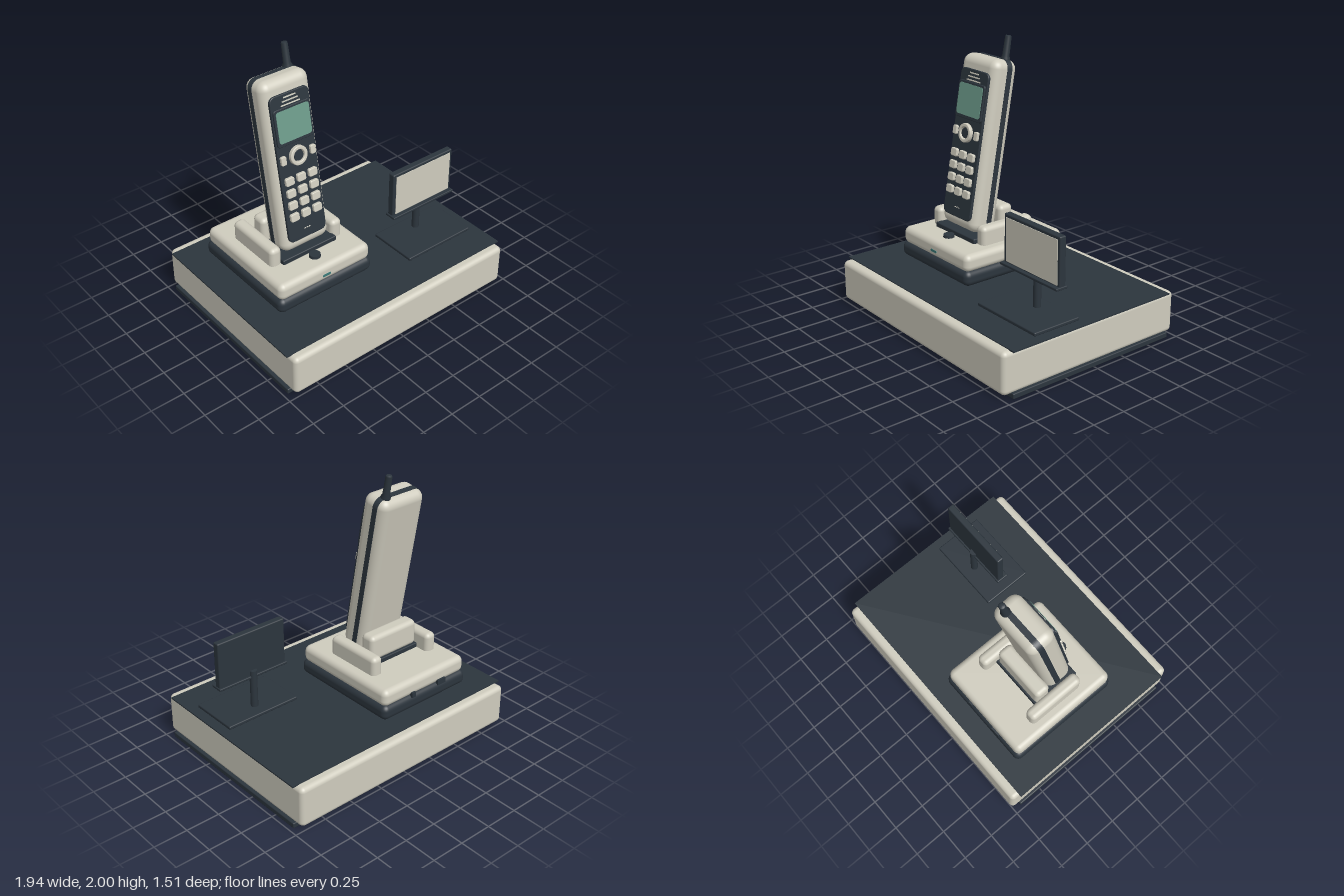
import * as THREE from 'three';
import { RoundedBoxGeometry } from 'three/addons/geometries/RoundedBoxGeometry.js';

const paint = (name, color) => {
  const m = new THREE.MeshStandardMaterial({ color });
  m.name = name;
  return m;
};

export function createModel() {
  const cream = paint('warm cream', 0xcfccbe);
  const dark = paint('slate', 0x2c353d);
  const green = paint('screen green', 0x6c9a8a);
  const teal = paint('indicator teal', 0x3c7a78);

  const add = (parent, name, geo, mat, x, y, z) => {
    const mesh = new THREE.Mesh(geo, mat);
    mesh.name = name;
    mesh.position.set(x, y, z);
    parent.add(mesh);
    return mesh;
  };
  // Box given by its extents along each axis
  const block = (parent, name, mat, [x0, x1], [y0, y1], [z0, z1], r = 0) => {
    const s = [x1 - x0, y1 - y0, z1 - z0];
    const geo = r ? new RoundedBoxGeometry(...s, 4, r) : new THREE.BoxGeometry(...s);
    return add(parent, name, geo, mat, (x0 + x1) / 2, (y0 + y1) / 2, (z0 + z1) / 2);
  };
  // Rounded rectangle plate starting at z = 0
  const plate = (w, h, r, depth, bevel = 0) => {
    const a = w / 2 - bevel, b = h / 2 - bevel;
    const s = new THREE.Shape();
    s.moveTo(-a + r, -b);
    s.absarc(a - r, -b + r, r, -Math.PI / 2, 0);
    s.absarc(a - r, b - r, r, 0, Math.PI / 2);
    s.absarc(-a + r, b - r, r, Math.PI / 2, Math.PI);
    s.absarc(-a + r, -b + r, r, Math.PI, Math.PI * 1.5);
    const geo = new THREE.ExtrudeGeometry(s, {
      depth: depth - 2 * bevel, curveSegments: 8, bevelEnabled: bevel > 0,
      bevelSize: bevel, bevelThickness: bevel, bevelSegments: 3,
    });
    return geo.translate(0, 0, bevel);
  };

  const model = new THREE.Group();
  model.name = 'phoneDisplay';

  // Display plinth
  const plinth = new THREE.Group();
  plinth.name = 'plinth';
  block(plinth, 'plinthFoot', dark, [-0.97, 0.97], [0, 0.04], [-0.69, 0.69], 0.008);
  block(plinth, 'plinthBody', cream, [-0.95, 0.95], [0.025, 0.33], [-0.755, 0.755], 0.035);
  block(plinth, 'plinthTop', dark, [-0.97, 0.97], [0.326, 0.336], [-0.69, 0.69]);
  model.add(plinth);

  // Charging dock
  const dock = new THREE.Group();
  dock.name = 'dock';
  const cx = -0.362;
  block(dock, 'dockBase', dark, [-0.765, 0.042], [0.335, 0.45], [-0.548, 0.355], 0.045);
  block(dock, 'dockBody', cream, [-0.753, 0.03], [0.435, 0.565], [-0.535, 0.345], 0.045);
  for (const side of [-1, 1]) {
    const x = cx + side * 0.262;
    block(dock, 'cradleArm', cream, [x - 0.046, x + 0.046], [0.53, 0.7], [-0.325, 0.132], 0.035);
  }
  block(dock, 'cradleBack', cream, [-0.58, -0.144], [0.59, 0.787], [-0.21, -0.09], 0.035);
  block(dock, 'cradleTray', dark, [-0.59, -0.13], [0.56, 0.6], [-0.22, 0.16], 0.008);
  add(dock, 'pageButton', new THREE.CylinderGeometry(0.04, 0.042, 0.026, 32), dark, -0.36, 0.573, 0.21);
  add(dock, 'chargeLight', plate(0.07, 0.018, 0.008, 0.008), teal, cx, 0.488, 0.34);
  block(dock, 'powerSocket', dark, [-0.255, -0.22], [0.43, 0.47], [-0.549, -0.5]);
  block(dock, 'lineSocket', dark, [-0.55, -0.475], [0.43, 0.47], [-0.549, -0.5]);
  model.add(dock);

  // Handset, leaning back in the dock
  const phone = new THREE.Group();
  phone.name = 'handset';
  phone.position.set(cx, 1.22, -0.07);
  phone.rotation.x = -0.175;
  add(phone, 'handsetShell', new RoundedBoxGeometry(0.395, 1.25, 0.216, 6, 0.065), cream, 0, 0, 0);
  add(phone, 'sideBand', plate(0.401, 1.256, 0.068, 0.042), dark, 0, 0, -0.047);
  add(phone, 'facePanel', plate(0.315, 1.07, 0.035, 0.032, 0.006), dark, 0, -0.012, 0.09);

  // Earpiece slots
  [0.1, 0.13, 0.155].forEach((w, i) =>
    add(phone, 'earpieceSlot', plate(w, 0.009, 0.004, 0.006), cream, 0, 0.497 - i * 0.026, 0.12));

  // Screen with raised frame
  add(phone, 'screenFrame', plate(0.296, 0.265, 0.015, 0.03, 0.005), dark, 0, 0.302, 0.105);
  add(phone, 'screen', plate(0.265, 0.224, 0.02, 0.008), green, 0, 0.306, 0.131);

  // Round navigation key and its two side keys
  const ring = new THREE.Shape();
  ring.absarc(0, 0, 0.062, 0, Math.PI * 2);
  const hole = new THREE.Path();
  hole.absarc(0, 0, 0.05, 0, Math.PI * 2, true);
  ring.holes.push(hole);
  const ringGeo = new THREE.ExtrudeGeometry(ring, {
    depth: 0.022, curveSegments: 32, bevelSize: 0.007, bevelThickness: 0.007, bevelSegments: 4,
  });
  add(phone, 'navigationRing', ringGeo, cream, 0, 0.072, 0.12);
  const centre = new THREE.CylinderGeometry(0.037, 0.037, 0.03, 32).rotateX(Math.PI / 2);
  add(phone, 'selectKey', centre, dark, 0, 0.072, 0.125);
  for (const side of [-1, 1])
    add(phone, 'softKey', plate(0.042, 0.064, 0.006, 0.026, 0.005), cream, side * 0.121, 0.072, 0.116);

  // Keypad
  const keyGeo = plate(0.07, 0.058, 0.008, 0.028, 0.006);
  for (let row = 0; row < 4; row++)
    for (let col = -1; col <= 1; col++)
      add(phone, 'numberKey', keyGeo, cream, col * 0.096, -0.088 - row * 0.09, 0.116);

  // Microphone holes
  for (let i = -1; i <= 1; i++)
    add(phone, 'microphoneDot', plate(0.014, 0.009, 0.004, 0.004), cream, i * 0.02, -0.476, 0.12);

  // Antenna
  const antenna = [[0, 0.58], [0.034, 0.58], [0.034, 0.635], [0.026, 0.65], [0.023, 0.785], [0.018, 0.794], [0, 0.794]]
    .map(([r, y]) => new THREE.Vector2(r, y));
  add(phone, 'antenna', new THREE.LatheGeometry(antenna, 24), dark, 0.122, 0, -0.035);
  model.add(phone);

  // Price card stand
  const stand = new THREE.Group();
  stand.name = 'cardStand';
  block(stand, 'standBase', dark, [0.305, 0.898], [0.335, 0.361], [0.08, 0.46], 0.008);
  add(stand, 'standPost', new THREE.CylinderGeometry(0.027, 0.027, 0.3, 24), dark, 0.602, 0.5, 0.19);
  block(stand, 'cardBoard', dark, [0.32, 0.884], [0.598, 0.955], [0.192, 0.245], 0.01);
  block(stand, 'cardLedge', dark, [0.31, 0.89], [0.59, 0.61], [0.18, 0.275], 0.006);
  block(stand, 'blankCard', cream, [0.345, 0.862], [0.617, 0.932], [0.241, 0.249]);
  model.add(stand);

  return model;
}
